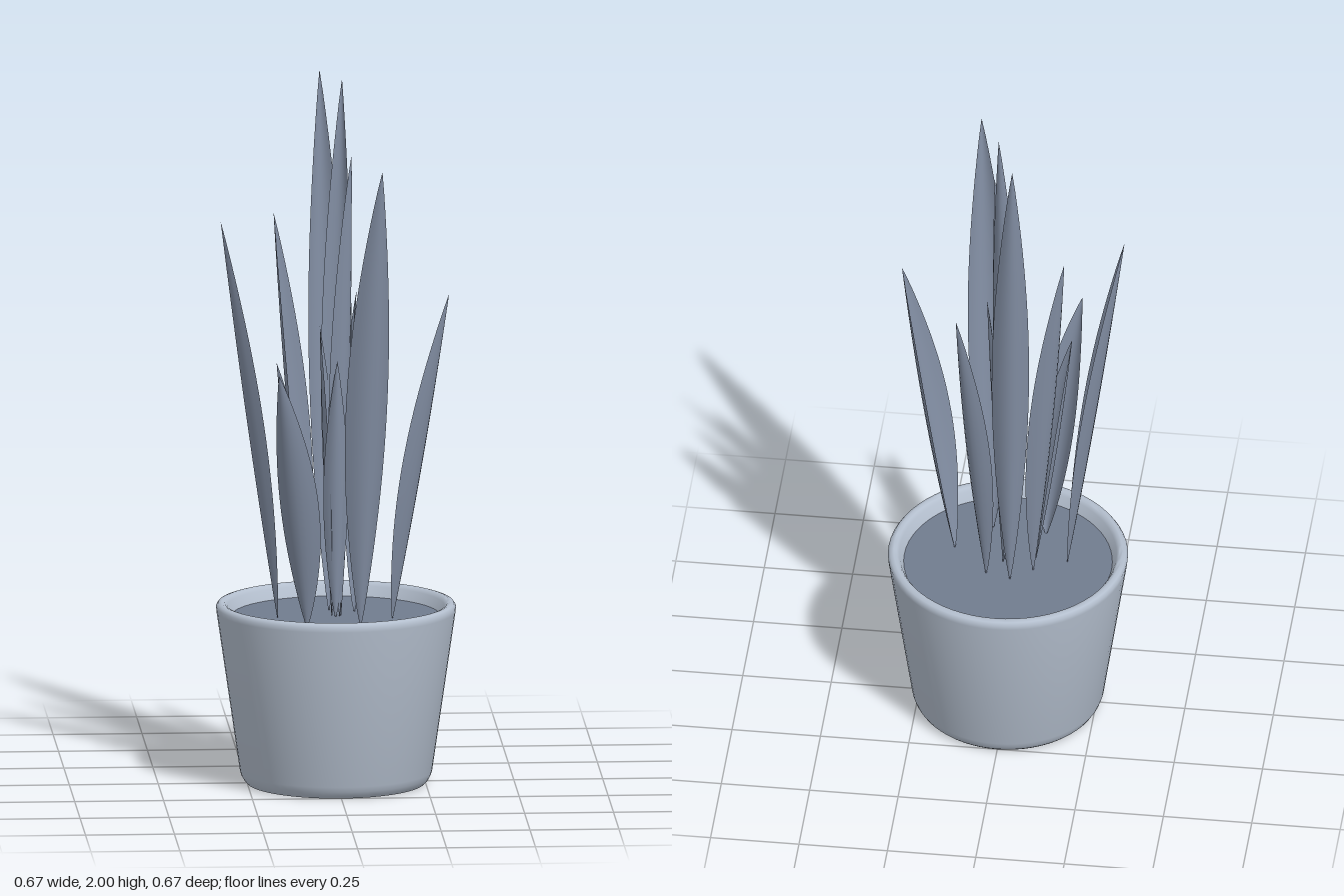
import * as THREE from 'three';
import { toCreasedNormals } from 'three/addons/utils/BufferGeometryUtils.js';

const SOIL_Y = 0.475;

// Channelled blade rising from root to tip, its edges curled towards the plant's middle
function leafGeometry([rx, rz], [tx, tz], height, width) {
  const rows = 24, cols = 8;
  const out = new THREE.Vector2(tx - rx, tz - rz).normalize();
  const positions = [], index = [];
  for (let i = 0; i <= rows; i++) {
    const t = i / rows;
    const half = width * 0.5 * Math.pow(Math.max(Math.sin(Math.PI * Math.pow(t, 0.95)), 0), 0.9);
    for (let j = 0; j <= cols; j++) {
      const u = (j / cols) * 2 - 1;
      const side = half * u;
      const curl = half * (0.1 - 0.65 * u * u);
      positions.push(
        rx + (tx - rx) * t + out.x * curl - out.y * side,
        SOIL_Y - 0.01 + (height - SOIL_Y + 0.01) * t,
        rz + (tz - rz) * t + out.y * curl + out.x * side
      );
      if (i < rows && j < cols) {
        const a = i * (cols + 1) + j, b = a + cols + 1;
        index.push(a, b, a + 1, b, b + 1, a + 1);
      }
    }
  }
  const geometry = new THREE.BufferGeometry();
  geometry.setAttribute('position', new THREE.Float32BufferAttribute(positions, 3));
  geometry.setIndex(index);
  geometry.computeVertexNormals();
  return geometry;
}

export function createModel() {
  const model = new THREE.Group();
  const potMaterial = new THREE.MeshStandardMaterial({ color: 0xb4bfce });
  const soilMaterial = new THREE.MeshStandardMaterial({ color: 0x717c8f });
  const leafMaterial = new THREE.MeshStandardMaterial({ color: 0x828ea3, side: THREE.DoubleSide });

  // Tapered pot with a rounded foot and rim, hollow above the soil
  const profile = [
    [0, 0], [0.25, 0], [0.258, 0.008], [0.265, 0.02], [0.27, 0.035],
    [0.336, 0.49], [0.337, 0.503], [0.331, 0.512], [0.321, 0.515],
    [0.312, 0.512], [0.305, 0.503], [0.287, 0.46],
  ].map(([r, y]) => new THREE.Vector2(r, y));
  const pot = new THREE.Mesh(toCreasedNormals(new THREE.LatheGeometry(profile, 64), 0.72), potMaterial);
  pot.name = 'pot';
  model.add(pot);

  // Soil disc
  const soil = new THREE.Mesh(new THREE.CircleGeometry(0.293, 64).rotateX(-Math.PI / 2), soilMaterial);
  soil.position.y = SOIL_Y;
  soil.name = 'soil';
  model.add(soil);

  // Leaves: root (x, z), tip (x, z), tip height, width
  const outerLeaves = [
    [[-0.015, -0.08], [-0.035, -0.19], 2.0, 0.105],
    [[0.055, -0.06], [0.13, -0.143], 1.42, 0.1],
    [[-0.075, -0.03], [-0.17, -0.09], 1.61, 0.105],
    [[-0.075, 0.03], [-0.172, 0.08], 1.215, 0.1],
    [[-0.165, 0.018], [-0.326, 0.028], 1.61, 0.125],
    [[-0.09, 0.14], [-0.177, 0.276], 1.215, 0.125],
    [[0.06, 0.15], [0.112, 0.307], 1.8, 0.125],
    [[0.155, 0.046], [0.312, 0.1], 1.41, 0.125],
  ];
  const innerLeaves = [
    [[0.002, -0.01], [0.02, -0.052], 2.0, 0.09],
    [[0.01, 0.008], [0.042, 0.034], 1.8, 0.09],
    [[-0.012, -0.002], [-0.045, -0.012], 1.3, 0.08],
    [[0.014, -0.002], [0.058, -0.01], 1.4, 0.08],
    [[-0.002, 0.014], [0, 0.062], 1.215, 0.07],
  ];
  for (const [name, list] of [['outerLeaf', outerLeaves], ['innerLeaf', innerLeaves]]) {
    list.forEach((spec, i) => {
      const leaf = new THREE.Mesh(leafGeometry(...spec), leafMaterial);
      leaf.name = name + (i + 1);
      model.add(leaf);
    });
  }
  return model;
}
